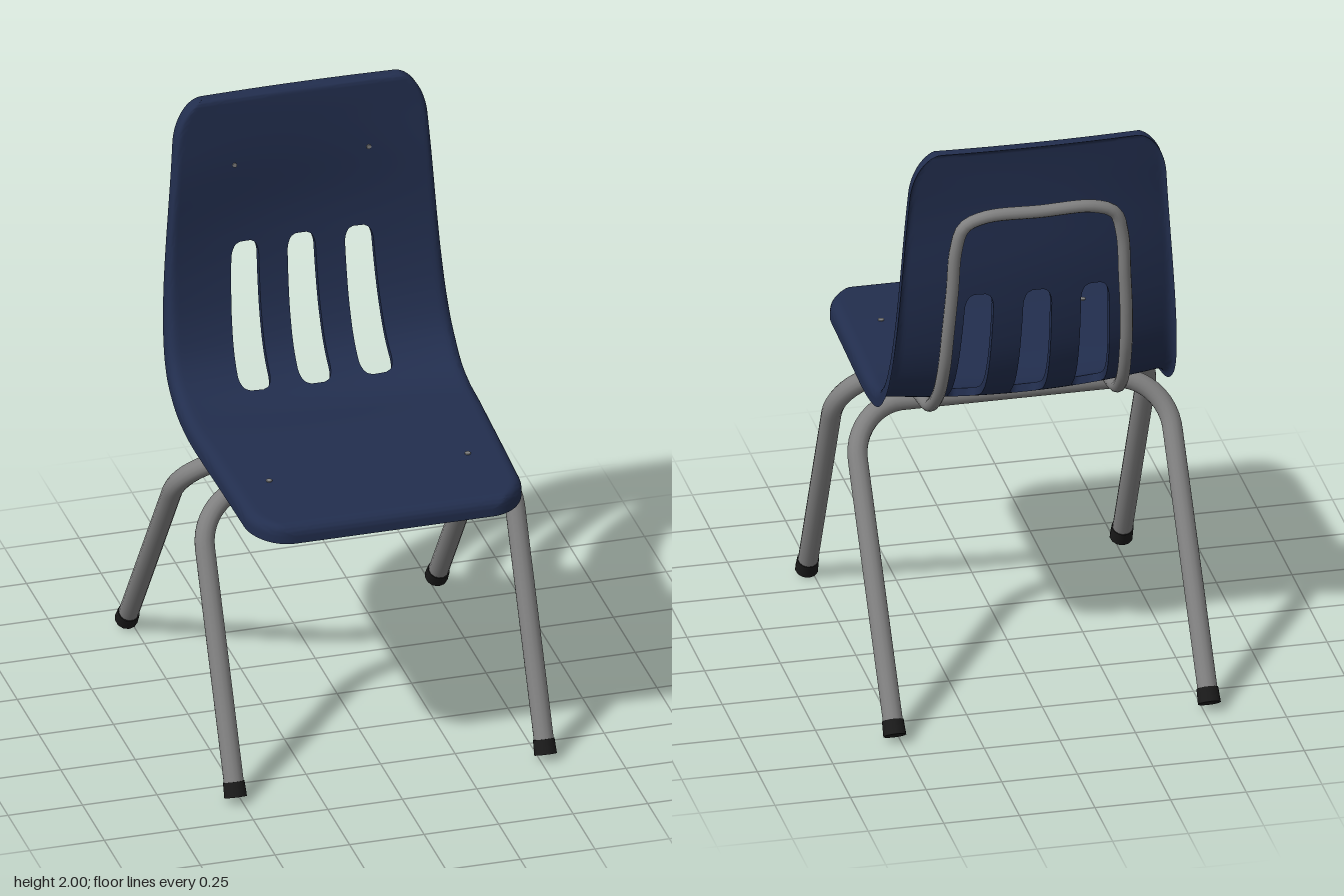
import * as THREE from 'three';
import { toCreasedNormals } from 'three/addons/utils/BufferGeometryUtils.js';

const V = (x, y, z) => new THREE.Vector3(x, y, z);
const { clamp, lerp, smoothstep } = THREE.MathUtils;
const mat = (name, color) => {
  const m = new THREE.MeshStandardMaterial({ color });
  m.name = name;
  return m;
};
const mesh = (name, geometry, material) => {
  const m = new THREE.Mesh(geometry, material);
  m.name = name;
  return m;
};
// quarter-circle fall-off: 1 at the edge, 0 at distance r
const round = (d, r) => 1 - Math.sqrt(1 - (1 - clamp(d / r, 0, 1)) ** 2);

// One-piece seat and back: a thick sheet swept along a bent profile, with three slots
function shellGeometry() {
  const path = new THREE.CatmullRomCurve3([
    V(0, 1.0, 0.665), V(0, 1.012, 0.35), V(0, 1.022, 0), V(0, 1.028, -0.1), V(0, 1.055, -0.2),
    V(0, 1.12, -0.28), V(0, 1.22, -0.33), V(0, 1.35, -0.362), V(0, 1.5, -0.38),
    V(0, 1.75, -0.39), V(0, 1.9, -0.403), V(0, 2.0, -0.412),
  ]);
  const L = path.getLength();
  const find = (test) => {
    let s = 0;
    while (s < L && !test(path.getPointAt(s / L))) s += 0.002;
    return s;
  };
  const s0 = find((p) => p.z < -0.2), s1 = find((p) => p.y > 1.475), e = 0.055;

  // rows along the profile, closer together at the edges and the slot ends
  const knots = [[0, 0], [0.04, 8], [0.16, 9], [s0 - e, 16], [s0, 5], [s0 + e, 8],
    [s1 - e, 16], [s1, 8], [s1 + e, 5], [L - 0.16, 10], [L - 0.03, 10], [L, 8]];
  const rows = [0];
  for (let k = 1; k < knots.length; k++) {
    const [b, n] = knots[k], a = knots[k - 1][0];
    for (let i = 1; i <= n; i++) {
      let t = i / n;
      if (k === 1) t = t * t;
      if (k === knots.length - 1) t = 1 - (1 - t) ** 2;
      rows.push(lerp(a, b, t));
    }
  }

  const top = [], bottom = [], slotCol = [];
  rows.forEach((s) => {
    const p = path.getPointAt(s / L), t = path.getTangentAt(s / L);
    const n = V(0, -t.z, t.y);
    const w = 0.48 - 0.02 * clamp(p.z / 0.6, 0, 1) - 0.075 * Math.max(0, p.y - 1.1)
      - 0.13 * round(s, 0.15) - 0.09 * round(L - s, 0.15);
    // slot edges at this row
    const k = clamp((s - s0) / (s1 - s0), 0, 1);
    const d = Math.min(Math.abs(s - s0), Math.abs(s - s1));
    const half = lerp(0.055, 0.046, k) * (1 - 0.6 * round(d, e));
    const c = lerp(0.205, 0.19, k);
    const marks = [-w, -c - half, -c + half, -half, half, c - half, c + half, w];
    const counts = [14, 4, 5, 4, 5, 4, 14];
    const xs = [-w];
    slotCol.length = 0;
    counts.forEach((m, j) => {
      for (let i = 1; i <= m; i++) {
        let q = i / m;
        if (j === 0) q = q * q;
        if (j === 6) q = 1 - (1 - q) ** 2;
        xs.push(lerp(marks[j], marks[j + 1], q));
        slotCol.push(j % 2 === 1);
      }
    });
    const dish = 0.035 * smoothstep(-p.z, -0.1, 0.2) * (1 - 0.75 * smoothstep(p.y, 1.55, 2));
    const lip = lerp(0.036, 0.018, smoothstep(p.y, 1.1, 1.6));
    const a = [], b = [];
    xs.forEach((x) => {
      const edge = Math.max(0, Math.min(w - Math.abs(x), s, L - s));
      const drop = dish * (1 - (x / w) ** 2) + lip * round(edge, lip);
      a.push(V(x, p.y, p.z).addScaledVector(n, -drop));
      b.push(V(x, p.y, p.z).addScaledVector(n, -drop - 0.026));
    });
    top.push(a);
    bottom.push(b);
  });

  const R = rows.length - 1, C = slotCol.length, pos = [];
  const solid = (i, j) => {
    if (i < 0 || j < 0 || i >= R || j >= C) return false;
    const s = (rows[i] + rows[i + 1]) / 2;
    return !(slotCol[j] && s > s0 && s < s1);
  };
  const quad = (a, b, c, d) => [a, b, c, a, c, d].forEach((v) => pos.push(v.x, v.y, v.z));
  for (let i = 0; i < R; i++) for (let j = 0; j < C; j++) {
    if (!solid(i, j)) continue;
    const ring = [[i, j], [i, j + 1], [i + 1, j + 1], [i + 1, j]];
    const t = ring.map(([r, c]) => top[r][c]), b = ring.map(([r, c]) => bottom[r][c]);
    quad(...t);
    quad(b[3], b[2], b[1], b[0]);
    // walls on the rim and inside the slots
    [[i - 1, j], [i, j + 1], [i + 1, j], [i, j - 1]].forEach(([r, c], k) => {
      const m = (k + 1) % 4;
      if (!solid(r, c)) quad(t[m], t[k], b[k], b[m]);
    });
  }
  const g = new THREE.BufferGeometry();
  g.setAttribute('position', new THREE.Float32BufferAttribute(pos, 3));
  return toCreasedNormals(g, 0.7);
}

// Bent tube forming a pair of legs and the bar between them, with a cap on each foot
function legPair(name, foot, barZ, steel, rubber) {
  const group = new THREE.Group();
  group.name = name;
  const bar = V(0.52, 0.905, barZ);
  const dir = bar.clone().sub(foot).normalize();
  const bend = bar.clone().addScaledVector(dir, -0.18);
  const flip = (v) => V(-v.x, v.y, v.z);
  const inner = V(0.35, bar.y, bar.z);
  const h1 = bar.clone().addScaledVector(dir, -0.08), h2 = V(0.44, bar.y, bar.z);
  const path = new THREE.CurvePath();
  path.add(new THREE.LineCurve3(foot, bend));
  path.add(new THREE.CubicBezierCurve3(bend, h1, h2, inner));
  path.add(new THREE.LineCurve3(inner, flip(inner)));
  path.add(new THREE.CubicBezierCurve3(flip(inner), flip(h2), flip(h1), flip(bend)));
  path.add(new THREE.LineCurve3(flip(bend), flip(foot)));
  group.add(mesh('legTube', new THREE.TubeGeometry(path, 120, 0.033, 14), steel));
  for (const side of [1, -1]) {
    const cap = mesh('footCap', new THREE.CylinderGeometry(0.036, 0.038, 0.05, 12), rubber);
    cap.position.copy(foot).addScaledVector(dir, 0.025);
    cap.position.x *= side;
    cap.quaternion.setFromUnitVectors(V(0, 1, 0), dir);
    group.add(cap);
  }
  return group;
}

export function createModel() {
  const plastic = mat('navy plastic', 0x222e4e);
  const steel = mat('grey steel', 0x808080);
  const rubber = mat('black rubber', 0x1a1a1a);
  const model = new THREE.Group();
  model.name = 'chair';

  model.add(mesh('seatShell', shellGeometry(), plastic));
  model.add(legPair('frontLegs', V(0.52, 0.016, 0.615), 0.185, steel, rubber));
  model.add(legPair('rearLegs', V(0.52, 0.022, -0.64), -0.01, steel, rubber));

  // Support tube running under the seat and arching up behind the back
  const side = [V(0.33, 0.953, 0.44), V(0.325, 0.955, 0.2), V(0.315, 0.957, 0), V(0.31, 0.962, -0.12),
    V(0.31, 0.99, -0.235), V(0.305, 1.075, -0.333), V(0.3, 1.2, -0.395), V(0.295, 1.34, -0.428),
    V(0.285, 1.5, -0.447), V(0.275, 1.65, -0.455), V(0.25, 1.73, -0.46), V(0.18, 1.762, -0.464)];
  const arch = [...side, V(0, 1.765, -0.468), ...side.map((v) => V(-v.x, v.y, v.z)).reverse()];
  const curve = new THREE.CatmullRomCurve3(arch);
  model.add(mesh('backSupport', new THREE.TubeGeometry(curve, 140, 0.021, 12), steel));

  // Tube ends and rivet heads
  for (const s of [1, -1]) {
    const end = mesh('supportEnd', new THREE.SphereGeometry(0.021, 12, 8), steel);
    end.position.set(0.33 * s, 0.953, 0.44);
    const seatRivet = mesh('seatRivet', new THREE.CylinderGeometry(0.01, 0.01, 0.012, 10), steel);
    seatRivet.position.set(0.333 * s, 1.009, 0.36);
    const backRivet = mesh('backRivet', new THREE.CylinderGeometry(0.008, 0.008, 0.014, 10), steel);
    backRivet.rotation.x = Math.PI / 2;
    backRivet.position.set(0.225 * s, 1.755, -0.41);
    model.add(end, seatRivet, backRivet);
  }
  return model;
}
